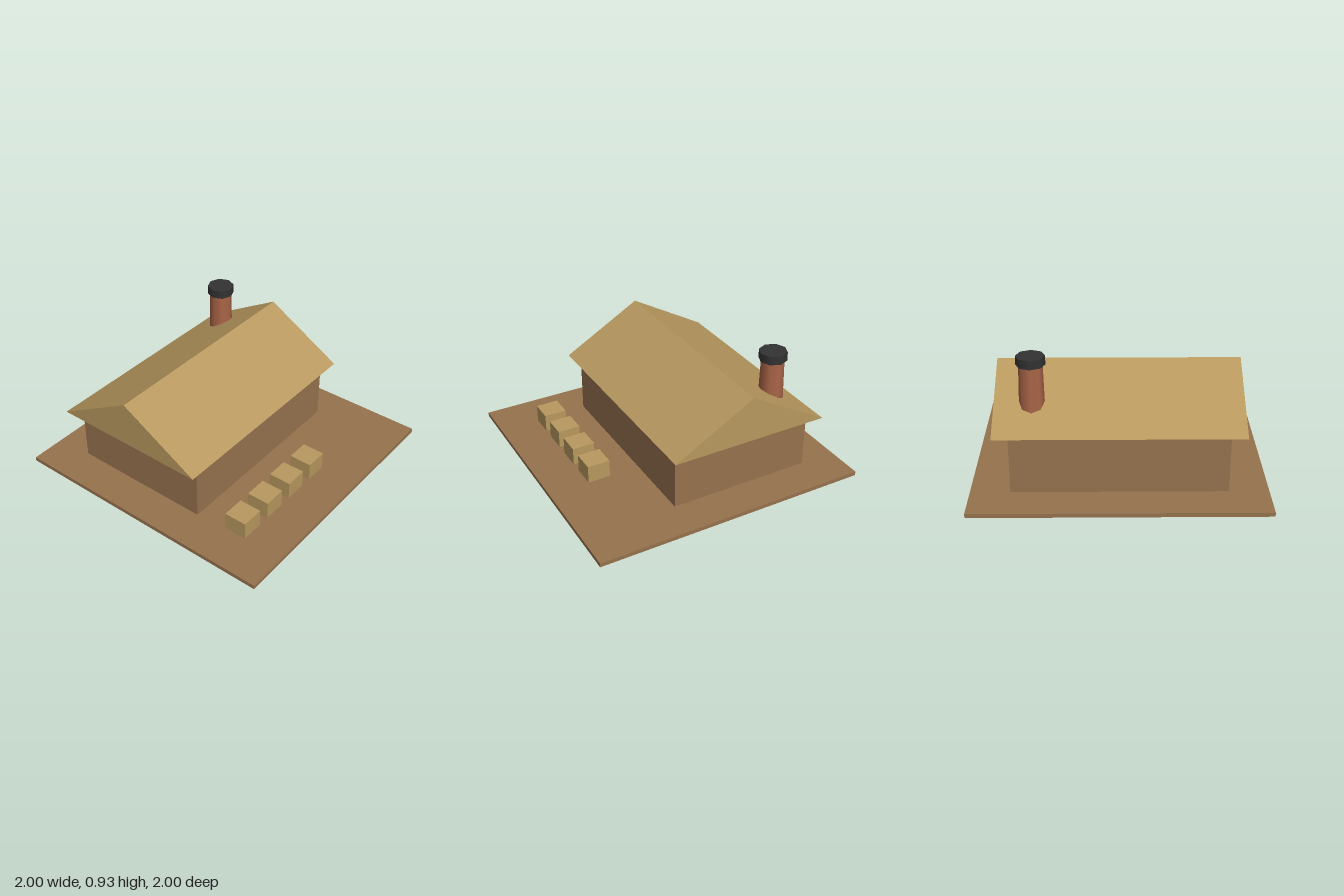
import * as THREE from 'three';

export function createModel() {
  const model = new THREE.Group();
  model.name = 'cottage';

  const mat = (name, color) => {
    const m = new THREE.MeshStandardMaterial({ color });
    m.name = name;
    return m;
  };
  const wood = mat('brown wood', 0x97734e);
  const straw = mat('straw thatch', 0xb8995f);
  const brick = mat('red brick', 0xaa6548);
  const soot = mat('dark soot', 0x333333);

  const add = (name, geometry, material, x, y, z) => {
    const mesh = new THREE.Mesh(geometry, material);
    mesh.name = name;
    mesh.position.set(x, y, z);
    model.add(mesh);
    return mesh;
  };

  // Ground slab and house walls
  add('groundSlab', new THREE.BoxGeometry(2, 0.03, 2), wood, 0, 0.015, 0);
  add('houseWalls', new THREE.BoxGeometry(1.46, 0.42, 1.045), wood, 0, 0.24, -0.208);

  // Gable roof: triangle extruded along x
  const gable = new THREE.Shape([
    new THREE.Vector2(-0.58, 0),
    new THREE.Vector2(0.58, 0),
    new THREE.Vector2(0, 0.33),
  ]);
  const roof = new THREE.ExtrudeGeometry(gable, { depth: 1.665, bevelEnabled: false });
  roof.translate(0, 0, -0.8325).rotateY(Math.PI / 2);
  add('gableRoof', roof, straw, 0, 0.452, -0.21);

  // Chimney with a wider cap, rising from the back slope
  add('chimneyShaft', new THREE.CylinderGeometry(0.08, 0.09, 0.45, 8), brick, 0.58, 0.645, -0.523);
  add('chimneyCap', new THREE.CylinderGeometry(0.098, 0.098, 0.062, 8), soot, 0.58, 0.898, -0.523);

  // Row of bales in the front yard
  for (let i = 0; i < 4; i++) {
    add('bale' + (i + 1), new THREE.BoxGeometry(0.165, 0.14, 0.165), straw, -0.627 + i * 0.25, 0.09, 0.623);
  }

  return model;
}
